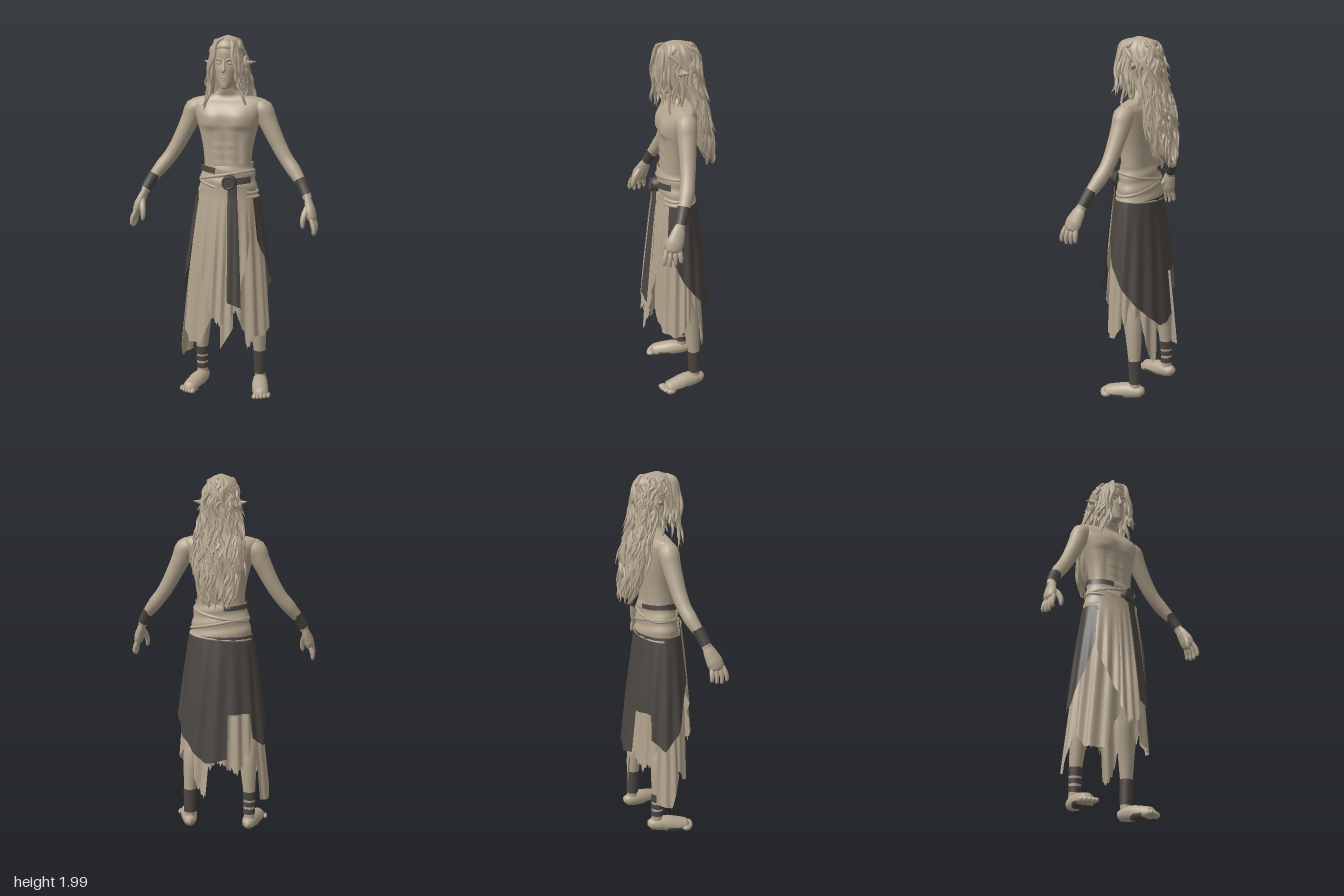
import * as THREE from 'three';
import { mergeVertices } from 'three/addons/utils/BufferGeometryUtils.js';

const { lerp, smoothstep } = THREE.MathUtils;
const RAD = Math.PI / 180;
const V = (x, y, z) => new THREE.Vector3(x, y, z);

export function createModel() {
  const tan = new THREE.MeshStandardMaterial({ color: 0xb3a48e, side: THREE.DoubleSide });
  tan.name = 'sand';
  const dark = new THREE.MeshStandardMaterial({ color: 0x4a4541, side: THREE.DoubleSide });
  dark.name = 'charcoal';
  const model = new THREE.Group();
  model.name = 'figure';
  let seed = 7;
  const rnd = (a = 0, b = 1) => {
    seed = (seed * 16807) % 2147483647;
    return lerp(a, b, seed / 2147483647);
  };

  const add = (name, geo, mat) => {
    const m = new THREE.Mesh(geo, mat);
    m.name = name;
    model.add(m);
    return m;
  };
  const smooth = (geo) => {
    geo.deleteAttribute('uv');
    geo.deleteAttribute('normal');
    const g = mergeVertices(geo, 1e-5);
    g.computeVertexNormals();
    return g;
  };

  // Grid surface from a rule point(u, v)
  function surface(name, point, nu, nv, mat) {
    const pos = [], idx = [];
    for (let j = 0; j <= nv; j++)
      for (let i = 0; i <= nu; i++) pos.push(...point(i / nu, j / nv).toArray());
    for (let j = 0; j < nv; j++)
      for (let i = 0; i < nu; i++) {
        const a = j * (nu + 1) + i, b = a + nu + 1;
        idx.push(a, a + 1, b, a + 1, b + 1, b);
      }
    const g = new THREE.BufferGeometry();
    g.setAttribute('position', new THREE.Float32BufferAttribute(pos, 3));
    g.setIndex(idx);
    return add(name, smooth(g), mat);
  }

  // Upright body from rows of [y, half width, front z, back z]
  function profile(rows, e = 0.85) {
    const A = new THREE.CatmullRomCurve3(rows.map((r) => V(r[1], r[0], r[2])), false, 'catmullrom', 0.4);
    const B = new THREE.CatmullRomCurve3(rows.map((r) => V(r[3], r[0], 0)), false, 'catmullrom', 0.4);
    const S = (v) => Math.sign(v) * Math.abs(v) ** e;
    return (a, t) => {
      const p = A.getPoint(t), zb = B.getPoint(t).x;
      return V(p.x * S(Math.sin(a)), p.y, (p.z + zb) / 2 + ((p.z - zb) / 2) * S(Math.cos(a)));
    };
  }
  const body = (name, f, nu, nv, mat, tweak) =>
    surface(name, (u, v) => tweak(f((u % 1) * 2 * Math.PI, v), u * 2 * Math.PI), nu, nv, mat);

  // Tapered tube through points [x, y, z, radius]
  function sweep(name, pts, mat, n = 20, sides = 12, tweak) {
    const curve = new THREE.CatmullRomCurve3(pts.map((p) => V(p[0], p[1], p[2])));
    const g = new THREE.TubeGeometry(curve, n, 1, sides);
    const P = g.attributes.position, v = V(0, 0, 0);
    for (let i = 0; i <= n; i++) {
      const c = curve.getPointAt(i / n);
      const k = curve.getUtoTmapping(i / n) * (pts.length - 1);
      const k0 = Math.min(Math.floor(k), pts.length - 2);
      const r = lerp(pts[k0][3], pts[k0 + 1][3], k - k0);
      for (let j = 0; j <= sides; j++) {
        const q = i * (sides + 1) + j;
        v.fromBufferAttribute(P, q).sub(c).multiplyScalar(r).add(c);
        if (tweak) tweak(v);
        P.setXYZ(q, v.x, v.y, v.z);
      }
    }
    return add(name, smooth(g), mat);
  }
  const ball = (name, x, y, z, sx, sy, sz, mat) => {
    const m = add(name, new THREE.SphereGeometry(1, 16, 12), mat);
    m.position.set(x, y, z);
    m.scale.set(sx, sy, sz);
  };

  // Torso with chest and stomach relief
  body('torso', profile([
    [1.1, 0.145, 0.095, -0.08], [1.2, 0.14, 0.092, -0.078], [1.3, 0.129, 0.088, -0.07], [1.4, 0.138, 0.09, -0.08],
    [1.5, 0.162, 0.093, -0.095], [1.57, 0.183, 0.09, -0.1], [1.62, 0.198, 0.068, -0.095], [1.648, 0.195, 0.042, -0.078], [1.66, 0.16, 0.036, -0.076],
    [1.673, 0.09, 0.035, -0.075], [1.7, 0.054, 0.045, -0.06], [1.75, 0.048, 0.055, -0.055], [1.8, 0.045, 0.05, -0.05],
  ]), 80, 70, tan, (p) => {
    if (p.z > 0) {
      const ax = Math.abs(p.x);
      const pec = smoothstep(p.y, 1.485, 1.515) * (1 - smoothstep(p.y, 1.54, 1.64));
      p.z += 0.015 * pec * Math.exp(-(((ax - 0.08) / 0.06) ** 2));
      const belly = smoothstep(p.y, 1.22, 1.3) * (1 - smoothstep(p.y, 1.44, 1.49));
      p.z -= belly * (0.006 * Math.exp(-((ax / 0.012) ** 2)) + 0.006 * Math.exp(-(((ax - 0.075) / 0.016) ** 2)));
      p.z += belly * 0.003 * Math.cos(p.y * 125) * Math.exp(-(((ax - 0.035) / 0.03) ** 2));
    } else p.z += 0.012 * Math.exp(-((p.x / 0.025) ** 2)) * smoothstep(p.y, 1.15, 1.3);
    return p;
  });

  // Head and face
  body('head', profile([
    [1.708, 0.004, 0.09, 0.07], [1.716, 0.026, 0.106, 0.01], [1.75, 0.048, 0.106, -0.04], [1.8, 0.062, 0.104, -0.06],
    [1.85, 0.068, 0.102, -0.075], [1.9, 0.071, 0.102, -0.08], [1.94, 0.064, 0.09, -0.07], [1.968, 0.04, 0.06, -0.04], [1.978, 0.004, 0.02, 0],
  ], 0.95), 48, 40, tan, (p) => {
    if (p.z > 0.04) p.z -= 0.01 * Math.exp(-(((Math.abs(p.x) - 0.03) / 0.016) ** 2) - ((p.y - 1.845) / 0.013) ** 2);
    return p;
  });
  sweep('nose', [[0, 1.868, 0.097, 0.005], [0, 1.83, 0.106, 0.009], [0, 1.804, 0.112, 0.012], [0, 1.795, 0.104, 0.003]], tan);
  sweep('upperLip', [[-0.022, 1.767, 0.097, 0.001], [0, 1.769, 0.104, 0.005], [0.022, 1.767, 0.097, 0.001]], tan);
  sweep('lowerLip', [[-0.019, 1.763, 0.096, 0.001], [0, 1.759, 0.103, 0.005], [0.019, 1.763, 0.096, 0.001]], tan);

  for (const s of [1, -1]) {
    const S = (pts) => pts.map(([x, y, z, r]) => [x * s, y, z, r]);
    ball('eye', 0.03 * s, 1.845, 0.088, 0.014, 0.008, 0.009, tan);
    sweep('brow', S([[0.008, 1.858, 0.103, 0.004], [0.032, 1.868, 0.098, 0.006], [0.058, 1.866, 0.076, 0.002]]), tan);
    sweep('ear', S([[0.058, 1.815, 0.01, 0.006], [0.078, 1.832, -0.005, 0.02], [0.105, 1.842, -0.02, 0.014], [0.143, 1.85, -0.035, 0.001]]), tan);

    // Arm, cuff and hand
    sweep('arm', S([
      [0.09, 1.605, -0.012, 0.03], [0.15, 1.606, -0.012, 0.048], [0.187, 1.596, -0.012, 0.056], [0.213, 1.54, -0.01, 0.051], [0.242, 1.48, -0.005, 0.046],
      [0.283, 1.4, 0.002, 0.041], [0.323, 1.335, 0.012, 0.038], [0.366, 1.28, 0.028, 0.038], [0.43, 1.19, 0.065, 0.026], [0.452, 1.14, 0.08, 0.024],
    ]), tan, 44, 18);
    sweep('cuff', S([[0.405, 1.234, 0.05, 0.034], [0.42, 1.208, 0.059, 0.031], [0.447, 1.157, 0.077, 0.029]]), dark, 8, 16);
    sweep('palm', S([[0.445, 1.16, 0.078, 0.022], [0.46, 1.12, 0.092, 0.036], [0.478, 1.07, 0.112, 0.046], [0.487, 1.035, 0.124, 0.041], [0.489, 1.018, 0.127, 0.004]]), tan, 20, 14,
      (v) => { const c = lerp(0.49, 0.445, (v.y - 1.02) / 0.14) * s; v.x = c + (v.x - c) * 0.6; });
    for (let i = 0; i < 4; i++) {
      const z = 0.092 + i * 0.022, tip = 0.972 - [0, 0.012, 0.016, 0.006][i], spread = 0.007 * i - 0.006;
      sweep('finger', S([[0.483, 1.045, z, 0.011], [0.497, 1.01, z + spread * 0.6, 0.0135], [0.502, 0.985, z + spread, 0.011],
        [0.5, tip, z + spread, 0.009], [0.499, tip - 0.006, z + spread, 0.001]]), tan, 12, 8);
    }
    sweep('thumb', S([[0.46, 1.11, 0.11, 0.014], [0.447, 1.065, 0.145, 0.017], [0.44, 1.03, 0.16, 0.014], [0.442, 1.0, 0.165, 0.01], [0.443, 0.99, 0.166, 0.001]]), tan, 14, 8);

    // Leg, foot and toes
    sweep('leg', S([[0.085, 1.08, 0, 0.075], [0.115, 0.8, 0.01, 0.075], [0.14, 0.58, 0, 0.055], [0.157, 0.42, -0.045, 0.05],
      [0.168, 0.23, -0.062, 0.034], [0.17, 0.11, -0.068, 0.031], [0.17, 0.03, -0.07, 0.03]]), tan, 40, 16);
    sweep('foot', S([[0.163, 0.035, -0.122, 0.004], [0.165, 0.04, -0.112, 0.028], [0.17, 0.042, -0.07, 0.04], [0.182, 0.036, -0.01, 0.045],
      [0.197, 0.022, 0.05, 0.045], [0.208, 0.014, 0.095, 0.04], [0.212, 0.012, 0.115, 0.006]]), tan, 28, 16, (v) => { v.y = Math.max(0.004, v.y); });
    sweep('solePad', S([[0.182, 0.025, -0.015, 0.04], [0.19, 0.022, 0.02, 0.049], [0.2, 0.018, 0.065, 0.046]]), dark, 8, 16,
      (v) => { v.y = THREE.MathUtils.clamp(v.y, 0, 0.022); });
    for (let i = 0; i < 5; i++)
      ball('toe', (0.178 + i * 0.018) * s, 0.014, 0.12 - i * i * 0.0022, i ? 0.011 : 0.015, 0.014, 0.024, tan);

    // Ankle wraps: whole on the left, in strips on the right
    const ranges = s > 0 ? [[0.09, 0.228]] : [[0.095, 0.126], [0.14, 0.168], [0.18, 0.228]];
    for (const [y0, y1] of ranges)
      sweep('ankleWrap', S([y0, (y0 + y1) / 2, y1].map((y) => [0.169, y, -0.062 - (0.23 - y) * 0.045, 0.034 + 0.025 * Math.max(0, y - 0.1)])), dark, 6, 16);
  }

  // Hair mass with ridges
  const hair = profile([
    [1.33, 0.02, -0.16, -0.18], [1.39, 0.08, -0.125, -0.185], [1.5, 0.11, -0.09, -0.175], [1.6, 0.112, -0.06, -0.16], [1.7, 0.1, -0.03, -0.135],
    [1.8, 0.09, 0.02, -0.12], [1.87, 0.086, 0.065, -0.118], [1.93, 0.077, 0.1, -0.105], [1.97, 0.05, 0.07, -0.07], [1.99, 0.004, 0.02, 0],
  ], 0.95);
  body('hairMass', hair, 96, 50, tan, (p, a) => {
    const k = 1 + 0.04 * Math.sin(a * 13 + p.y * 14) + 0.025 * Math.sin(a * 23 - p.y * 24);
    return V(p.x * k, p.y, p.z < 0 ? p.z * k : p.z);
  });
  // Wavy locks down the back and sides, with tips that flick out
  for (let i = 0; i < 80; i++) {
    const a0 = rnd(72, 288) * RAD, t0 = rnd(0.25, 0.92), t1 = Math.max(-0.02, t0 - rnd(0.2, 0.45)), ph = rnd(0, 6), flick = rnd(0.005, 0.035), pts = [];
    for (let k = 0; k <= 7; k++) {
      const a = a0 + 0.17 * Math.sin(ph + k * 1.7), p = hair(a, Math.max(0.01, lerp(t0, t1, k / 7)));
      const out = 0.003 + 0.012 * Math.abs(Math.sin(ph + k)) * (k / 7) + flick * (k / 7) ** 3;
      const r = k === 0 || k === 7 ? 0.001 : 0.0135 - k * 0.0011;
      pts.push([p.x + Math.sin(a) * out, p.y - 0.03 * (k / 7) ** 2, p.z + Math.cos(a) * out * 0.8, r]);
    }
    sweep('hairLock', pts, tan, 18, 6);
  }
  // Locks framing the face
  for (const s of [1, -1])
    for (let i = 0; i < 11; i++) {
      const z = 0.112 - i * 0.012, end = rnd(1.59, 1.74), ph = rnd(0, 6), x = i < 2 ? -0.014 : 0;
      const w = (k) => 0.01 * Math.sin(ph + k * 2);
      sweep('faceLock', [
        [0.008 * s, 1.975, z * 0.6, 0.004], [0.045 * s, 1.95, z * 0.85, 0.011], [(0.068 + x + w(1) * 0.6) * s, 1.88, z + 0.002, 0.012], [(0.084 + x + w(2)) * s, 1.81, z + 0.006, 0.01],
        [(0.09 + x + w(3)) * s, lerp(1.81, end, 0.4), z + w(1), 0.009], [(0.1 + x + w(4)) * s, lerp(1.81, end, 0.75), z + w(2), 0.008], [(0.11 + w(5)) * s, end, z + w(3), 0.001],
      ], tan, 24, 6);
    }

  // Sash, its folds and the belt
  const sash = (a, y, out = 0) => {
    const k = (1.3 - y) / 0.2, c = Math.cos(a);
    return V(Math.sin(a) * (0.14 + 0.032 * k + out), y, 0.004 + c * ((c > 0 ? 0.098 : 0.086) + 0.016 * k + out));
  };
  surface('sash', (u, v) => {
    const a = (u % 1) * 2 * Math.PI, y = lerp(1.1, 1.3, v) + 0.012 * Math.sin(a);
    return sash(a, y, 0.003 * Math.sin(y * 90 + 2 * Math.sin(a)));
  }, 72, 24, tan);
  for (const [y, tilt, r] of [[1.24, 0.03, 0.009], [1.185, -0.035, 0.009], [1.115, 0.012, 0.009]]) {
    const pts = [];
    for (let i = 0; i <= 24; i++) {
      const a = (i / 24) * 2 * Math.PI, p = sash(a, y + tilt * Math.sin(a + 0.4), -0.002);
      pts.push([p.x, p.y, p.z, r]);
    }
    sweep('sashFold', pts, tan, 64, 8);
  }
  const band = (name, a0, a1, y0, y1, h) => surface(name, (u, v) =>
    sash(lerp(a0, a1, u) * RAD, lerp(y0, y1, u) + h * (v - 0.5), 0.008), 40, 1, dark);
  band('beltRight', -90, -18, 1.29, 1.272, 0.032);
  band('beltLeft', 10, 60, 1.215, 1.225, 0.035);
  band('beltBack', 190, 270, 1.28, 1.29, 0.026);
  const buckle = add('buckle', new THREE.CylinderGeometry(0.033, 0.042, 0.035, 20), dark);
  buckle.rotation.x = Math.PI / 2;
  buckle.position.set(0.035, 1.215, 0.132);
  add('buckleRim', new THREE.TorusGeometry(0.031, 0.007, 8, 24), dark).position.set(0.035, 1.215, 0.149);

  // Hanging cloth between two angles, measured from the front towards the left
  function cloth(name, a0, a1, top, hem, mat, { out = 0, flare = 0, depth = 0, folds = 0.2, amp = 0.008, nu = 40 } = {}) {
    surface(name, (u, v) => {
      const deg = lerp(a0, a1, u), a = deg * RAD, y = lerp(hem(deg), top, v), c = Math.cos(a);
      const t = Math.max(0, (1.14 - y) / 0.8), w = t ** 0.8;
      const o = out + flare * t + amp * Math.min(1, t * 2) * Math.sin(deg * folds + 2 * t);
      return V(Math.sin(a) * (0.16 + 0.075 * w + o), y, 0.01 + c * ((c > 0 ? 0.112 : 0.096) + 0.06 * w + o + depth * t));
    }, nu, 16, mat);
  }
  const steps = (rows) => (d) => {
    const i = Math.max(1, rows.findIndex((r) => r[0] >= d));
    const [p, q] = [rows[i - 1], rows[i]];
    return lerp(p[1], q[1], (d - p[0]) / (q[0] - p[0]));
  };
  const rag = (f, k = 0.02) => (d) => f(d) + k * Math.sin(d * 0.9) * Math.sin(d * 0.4);
  cloth('frontLeftCloth', 20, 100, 1.14, steps([[20, 0.5], [28, 0.4], [40, 0.36], [78, 0.35], [100, 0.42]]), tan, { depth: -0.035, folds: 0.27 });
  cloth('frontRightCloth', -100, -8, 1.14, steps([[-100, 0.42], [-74, 0.35], [-62, 0.3], [-30, 0.3], [-17, 0.45], [-8, 0.5]]), tan, { flare: 0.008, depth: -0.045, folds: 0.25 });
  cloth('frontRightDrape', -52, -14, 1.18, steps([[-52, 0.85], [-30, 0.68], [-14, 0.56]]), tan, { out: 0.014, folds: 0.35 });
  cloth('frontLeftDrape', 24, 46, 1.18, steps([[24, 0.6], [36, 0.75], [46, 0.9]]), tan, { out: 0.012, folds: 0.35 });
  cloth('frontCentreCloth', -16, 16, 1.19, rag(steps([[-16, 0.52], [0, 0.43], [16, 0.5]])), tan, { out: 0.008, flare: 0.02, folds: 0.5 });
  cloth('frontTail', 0, 17, 1.1, steps([[0, 0.3], [17, 0.42]]), tan, { flare: 0.01, folds: 0.5, amp: 0.004 });
  cloth('frontDarkStrip', 9, 26, 1.2, steps([[9, 0.57], [26, 0.54]]), dark, { out: 0.02, flare: 0.036, amp: 0.002, folds: 0.6 });
  cloth('backLeftCloth', 98, 182, 1.12, rag(steps([[98, 0.45], [138, 0.44], [150, 0.24], [163, 0.2], [166, 0.38], [182, 0.42]])), tan, { out: -0.01, folds: 0.3, nu: 80 });
  cloth('backRightCloth', 180, 262, 1.12, rag(steps([[180, 0.42], [205, 0.35], [225, 0.4], [240, 0.34], [262, 0.4]])), tan, { out: -0.01, folds: 0.3, nu: 60 });
  cloth('sideRightTail', 236, 274, 1.1, steps([[236, 0.19], [260, 0.17], [274, 0.34]]), tan, { out: -0.006, flare: 0.033, folds: 0.4, amp: 0.004 });
  cloth('darkOverskirt', 60, 306, 1.125, steps([[60, 0.9], [90, 0.7], [120, 0.58], [165, 0.42], [192, 0.45], [194, 0.7],
    [226, 0.7], [228, 0.56], [250, 0.5], [275, 0.59], [306, 0.88]]), dark, { out: 0.012, flare: 0.028, folds: 0.25, amp: 0.006, nu: 123 });

  return model;
}
